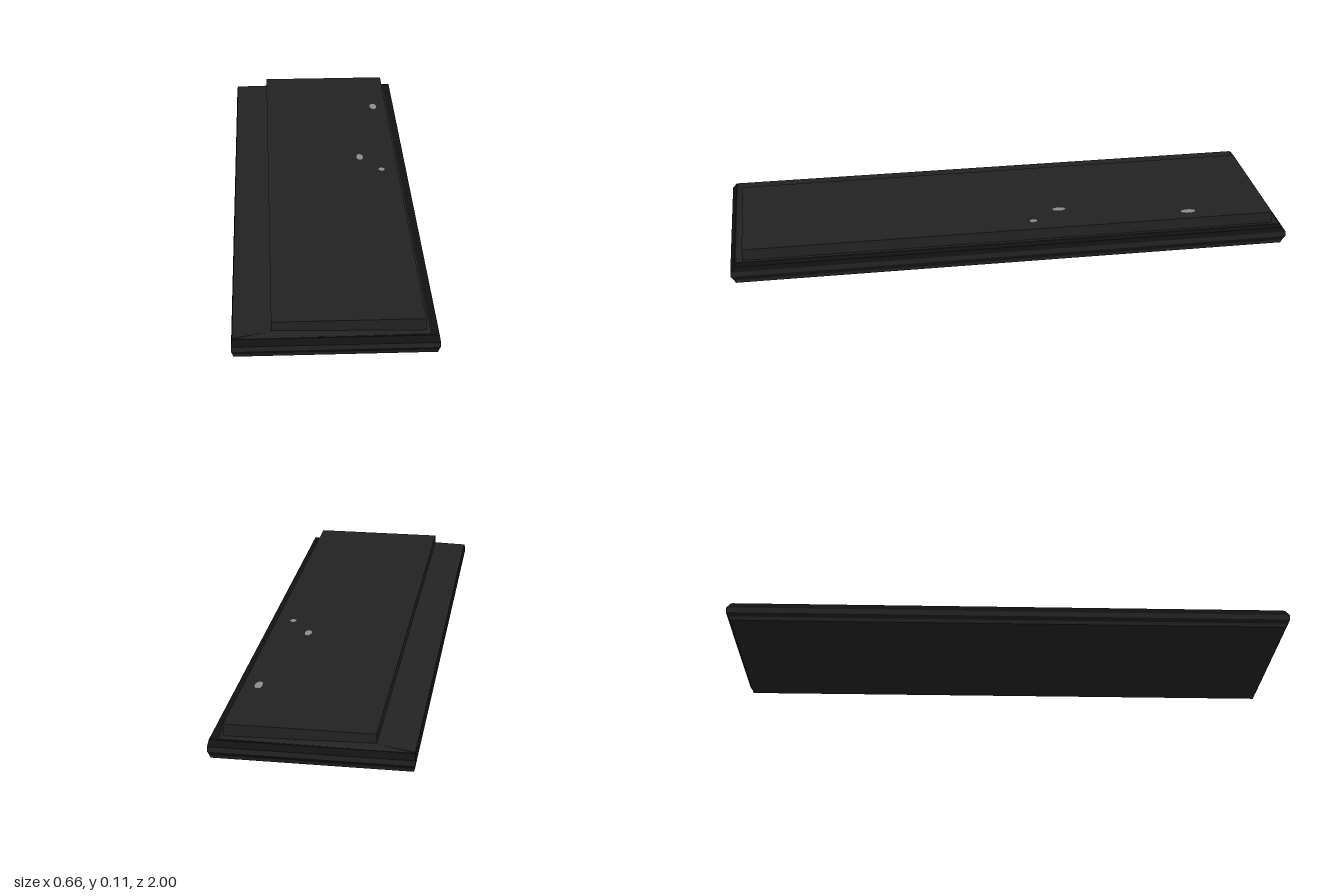
import * as THREE from 'three';

const mat = (name, color) => {
  const m = new THREE.MeshStandardMaterial({ color });
  m.name = name;
  return m;
};

export function createModel() {
  const group = new THREE.Group();
  const charcoal = mat('charcoal', 0x222222);
  const black = mat('black', 0x121212);
  const grey = mat('grey', 0x8c8c8c);

  const add = (name, geometry, material, x = 0, y = 0, z = 0) => {
    const mesh = new THREE.Mesh(geometry, material);
    mesh.name = name;
    mesh.position.set(x, y, z);
    group.add(mesh);
    return mesh;
  };

  // Rectangular band between two outlines [halfWidth, halfLength, y], optionally capped
  const band = ([x0, z0, y0], [x1, z1, y1], capBottom, capTop) => {
    const corners = (x, y, z) => [[-x, y, z], [x, y, z], [x, y, -z], [-x, y, -z]];
    const a = corners(x0, y0, z0), b = corners(x1, y1, z1), p = [];
    const quad = (q, r, s, t) => p.push(...q, ...r, ...s, ...q, ...s, ...t);
    for (let i = 0; i < 4; i++) {
      const j = (i + 1) % 4;
      quad(a[i], a[j], b[j], b[i]);
    }
    if (capBottom) quad(a[3], a[2], a[1], a[0]);
    if (capTop) quad(b[0], b[1], b[2], b[3]);
    const g = new THREE.BufferGeometry();
    g.setAttribute('position', new THREE.Float32BufferAttribute(p, 3));
    g.computeVertexNormals();
    return g;
  };

  // Bevelled base with alternating side bands
  const loops = [
    [0.325, 0.985, 0], [0.328, 0.99, 0.013], [0.331, 1, 0.028],
    [0.331, 1, 0.046], [0.328, 0.985, 0.064],
  ];
  for (let i = 0; i < 4; i++) {
    add('baseBand' + (i + 1), band(loops[i], loops[i + 1], i === 0, i === 3),
      i % 2 ? black : charcoal);
  }

  // Low sloping deck, its crest drawn in at both ends
  const profile = new THREE.Shape([
    [-0.327, 0.0635], [0.3, 0.0635], [0.3, 0.066], [-0.2, 0.076], [-0.327, 0.0655],
  ].map(([x, y]) => new THREE.Vector2(x, y)));
  const deck = new THREE.ExtrudeGeometry(profile, { depth: 1.96, bevelEnabled: false });
  deck.translate(0, 0, -0.98);
  const pos = deck.attributes.position;
  for (let i = 0; i < pos.count; i++) {
    if (pos.getY(i) > 0.07) pos.setZ(i, pos.getZ(i) * 0.98);
  }
  deck.computeVertexNormals();
  add('slopingDeck', deck, charcoal);

  // Raised rectangular panel, offset toward +x
  add('raisedPanel', new THREE.BoxGeometry(0.492, 0.044, 1.914), charcoal, 0.042, 0.086, 0);

  // Small worn marks on the panel
  for (const [x, z, w, l] of [
    [0.235, -0.655, 0.028, 0.055], [0.15, -0.19, 0.026, 0.05], [0.226, -0.083, 0.024, 0.028],
  ]) {
    const mark = new THREE.CylinderGeometry(0.5, 0.5, 0.001, 10);
    add('panelMark', mark, grey, x, 0.108, z).scale.set(w, 1, l);
  }
  return group;
}
